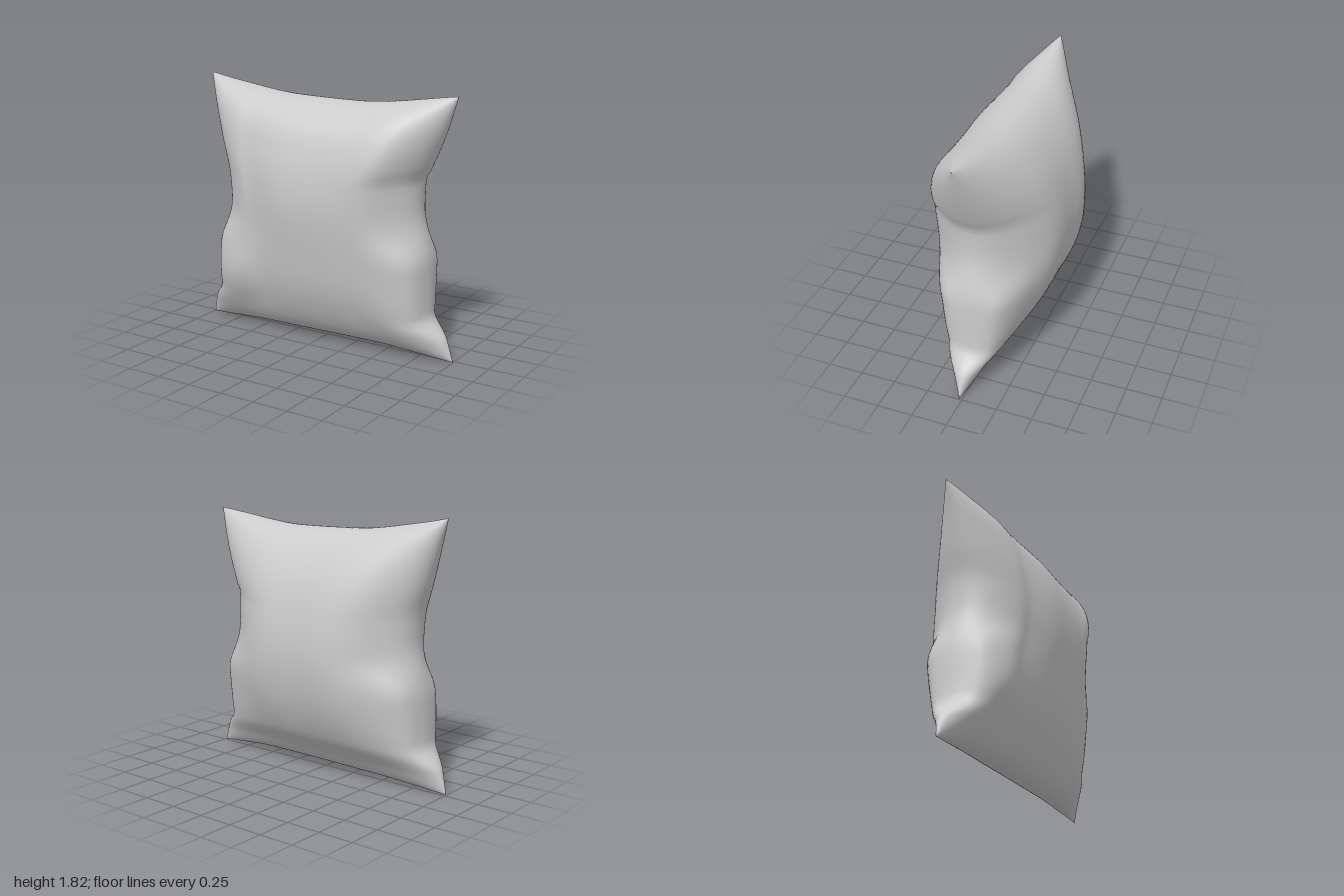
import * as THREE from 'three';
import { mergeVertices, mergeGeometries } from 'three/addons/utils/BufferGeometryUtils.js';

// Smooth, overshoot-free interpolation through [position, value] points.
function profile(pts) {
  const n = pts.length;
  const slope = (i) => (pts[i + 1][1] - pts[i][1]) / (pts[i + 1][0] - pts[i][0]);
  const tangent = (i) => {
    if (i === 0) return slope(0);
    if (i === n - 1) return slope(n - 2);
    const a = slope(i - 1), b = slope(i);
    return a * b <= 0 ? 0 : (2 * a * b) / (a + b);
  };
  return (x) => {
    let i = 0;
    while (i < n - 2 && x > pts[i + 1][0]) i++;
    const h = pts[i + 1][0] - pts[i][0];
    const t = (x - pts[i][0]) / h, r = 1 - t;
    return pts[i][1] * (1 + 2 * t) * r * r + tangent(i) * h * t * r * r
      + pts[i + 1][1] * t * t * (3 - 2 * t) - tangent(i + 1) * h * t * t * r;
  };
}

// Seam outline: sides as x over height (0..1), top and bottom as y over x (-1..1).
const leftEdge = profile([[0, -1], [0.09, -0.95], [0.17, -0.84], [0.36, -0.815],
  [0.54, -0.75], [0.63, -0.76], [0.76, -0.83], [0.92, -0.92], [1, -0.97]]);
const rightEdge = profile([[0, 1], [0.09, 0.94], [0.165, 0.825], [0.37, 0.815],
  [0.57, 0.74], [0.68, 0.75], [0.72, 0.79], [0.87, 0.91], [1, 0.99]]);
const bottomEdge = profile([[-1, 0], [-0.48, 0.03], [0.45, 0.04], [1, 0]]);
const topEdge = profile([[-1, 1.82], [-0.82, 1.785], [-0.25, 1.71], [0.24, 1.70], [1, 1.78]]);
const SEAM_Z = 0.02;

// The low sides are blunter than the rest.
const bluntSide = profile([[0, 0], [0.5, 0.52], [0.88, 0.95], [1, 1]]);
const bluntAmount = profile([[0, 0], [0.08, 0.3], [0.18, 1], [0.36, 1], [0.5, 0], [1, 0]]);

// Fullness of each face over its height and across its width, on top of a rounded base,
// with local swellings and hollows as [across, height, amount].
const faces = {
  front: {
    sign: 1,
    tall: profile([[0, 0.32], [0.05, 0.32], [0.22, 0.34], [0.36, 0.35], [0.6, 0.402],
      [0.8, 0.445], [0.97, 0.5], [1, 0.5]]),
    wide: profile([[-1, 1.1], [-0.66, 1.06], [-0.5, 0.98], [-0.15, 1.01], [0.1, 1],
      [0.4, 1.05], [0.7, 1.17], [0.9, 1.08], [1, 1]]),
    swells: [[-0.75, 0.24, 0.25], [0.75, 0.78, 0.1], [-0.85, 0.08, 0.2], [0.85, 0.08, 0.2]],
  },
  back: {
    sign: -1,
    tall: profile([[0, 0.25], [0.05, 0.26], [0.15, 0.36], [0.36, 0.415], [0.55, 0.43],
      [0.78, 0.43], [0.97, 0.42], [1, 0.42]]),
    wide: profile([[-1, 1], [-0.9, 1], [-0.66, 1.08], [-0.5, 1.1], [0, 1],
      [0.4, 1.04], [0.66, 1], [0.9, 0.95], [1, 0.95]]),
    swells: [[-0.85, 0.08, 0.2], [0.85, 0.08, 0.2]],
  },
};

// One cloth face: a grid over two angles, so it closes roundly at every seam.
function clothFace({ sign, tall, wide, swells }) {
  const N = 56;
  const geo = new THREE.PlaneGeometry(2, 2, N, N);
  const pos = geo.attributes.position;
  for (let i = 0; i < pos.count; i++) {
    const a = pos.getX(i) * Math.PI / 2, b = pos.getY(i) * Math.PI / 2;
    const u = Math.sin(a), t = (Math.sin(b) + 1) / 2;
    const spread = THREE.MathUtils.lerp(u, Math.sign(u) * bluntSide(Math.abs(u)), bluntAmount(t));
    const x = THREE.MathUtils.lerp(leftEdge(t), rightEdge(t), (spread + 1) / 2);
    const y = THREE.MathUtils.lerp(bottomEdge(u), topEdge(u), t);
    let depth = Math.cos(a) * wide(u) * Math.cos(b) * tall(t);
    for (const [su, st, amount] of swells) {
      depth *= 1 + amount * Math.exp(-(((u - su) / 0.25) ** 2) - ((t - st) / 0.14) ** 2);
    }
    pos.setXYZ(i, x, y, SEAM_Z + sign * depth);
  }
  if (sign < 0) geo.index.array.reverse(); // back face looks towards -z
  geo.deleteAttribute('uv');
  geo.deleteAttribute('normal');
  return geo;
}

export function createModel() {
  const group = new THREE.Group();
  group.name = 'pillow';
  // Both faces are joined along the seam so the shading runs smoothly around it
  const geo = mergeVertices(mergeGeometries([clothFace(faces.front), clothFace(faces.back)]), 1e-5);
  geo.computeVertexNormals();
  const cushion = new THREE.Mesh(geo, new THREE.MeshStandardMaterial({ color: 0xcccccc }));
  cushion.name = 'cushion';
  group.add(cushion);
  return group;
}
